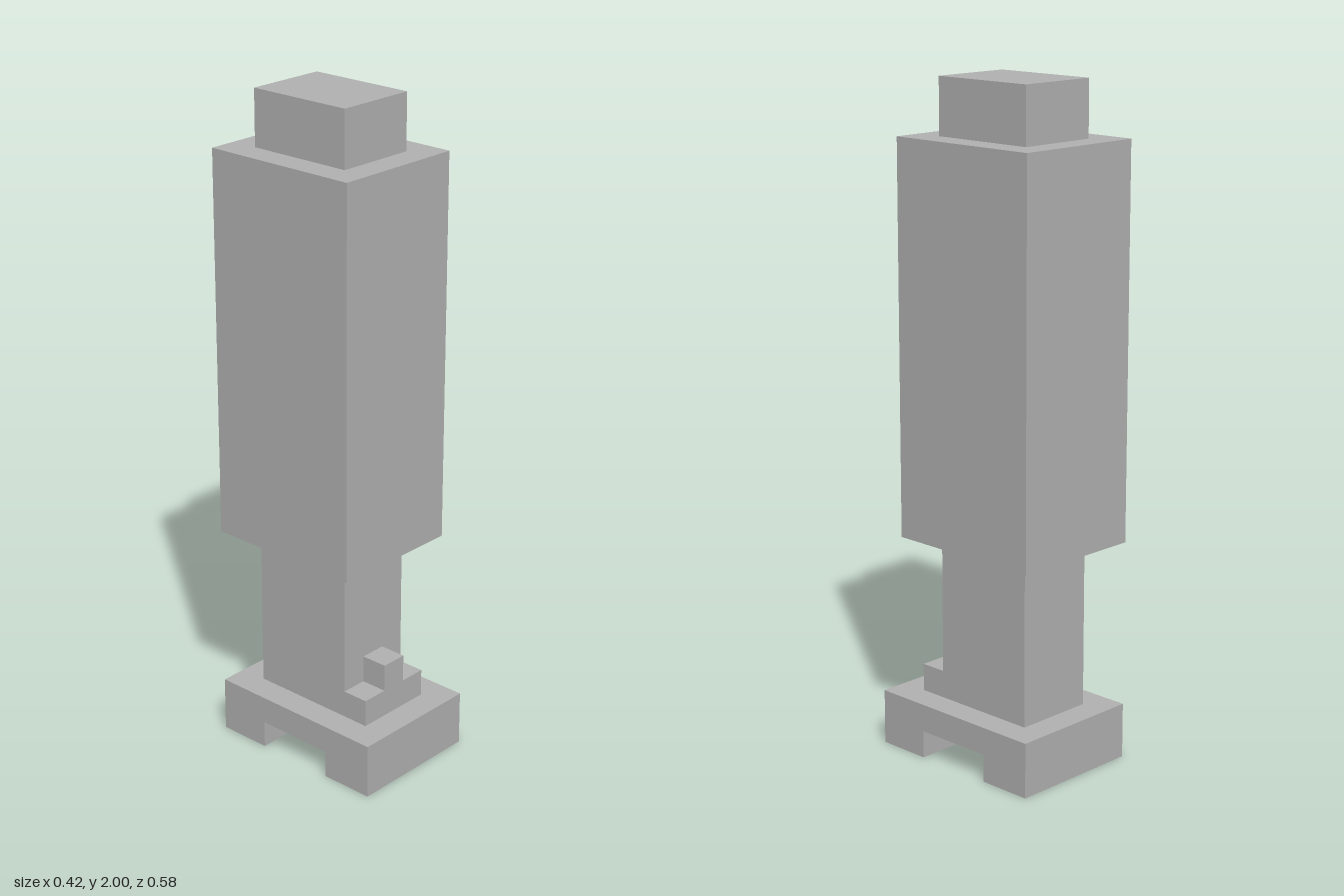
import * as THREE from 'three';

// All sizes sit on a regular block grid of 1/24 unit
const U = 1 / 24;

export function createModel() {
  const group = new THREE.Group();
  group.name = 'blockHandle';
  const grey = new THREE.MeshStandardMaterial({ color: 0xb2b2b2 });
  grey.name = 'grey';

  // Box centred on x, given by half width and y and z ranges in grid units
  const block = (name, halfX, y0, y1, z0, z1) => {
    const mesh = new THREE.Mesh(
      new THREE.BoxGeometry(2 * halfX * U, (y1 - y0) * U, (z1 - z0) * U), grey);
    mesh.position.set(0, (y0 + y1) / 2 * U, (z0 + z1) / 2 * U);
    mesh.name = name;
    group.add(mesh);
  };

  // Foot: side profile with a notch underneath, extruded across x
  const profile = [[-7, 0], [-3, 0], [-3, 2], [3, 2], [3, 0], [7, 0], [7, 4], [-7, 4]];
  const shape = new THREE.Shape(profile.map(([z, y]) => new THREE.Vector2(z * U, y * U)));
  const footGeometry = new THREE.ExtrudeGeometry(shape, { depth: 10 * U, bevelEnabled: false });
  footGeometry.translate(0, 0, -5 * U).rotateY(-Math.PI / 2);
  const foot = new THREE.Mesh(footGeometry, grey);
  foot.name = 'foot';
  group.add(foot);

  // Stem, thick body and top cap
  block('stem', 3, 4, 16, -5, 3);
  block('body', 5, 16, 44, -7, 5);
  block('cap', 3, 44, 48, -5, 3);

  // Step with a small knob at the front of the stem
  block('frontStep', 3, 4, 6, 3, 5);
  block('frontKnob', 1, 6, 8, 3, 5);

  return group;
}
